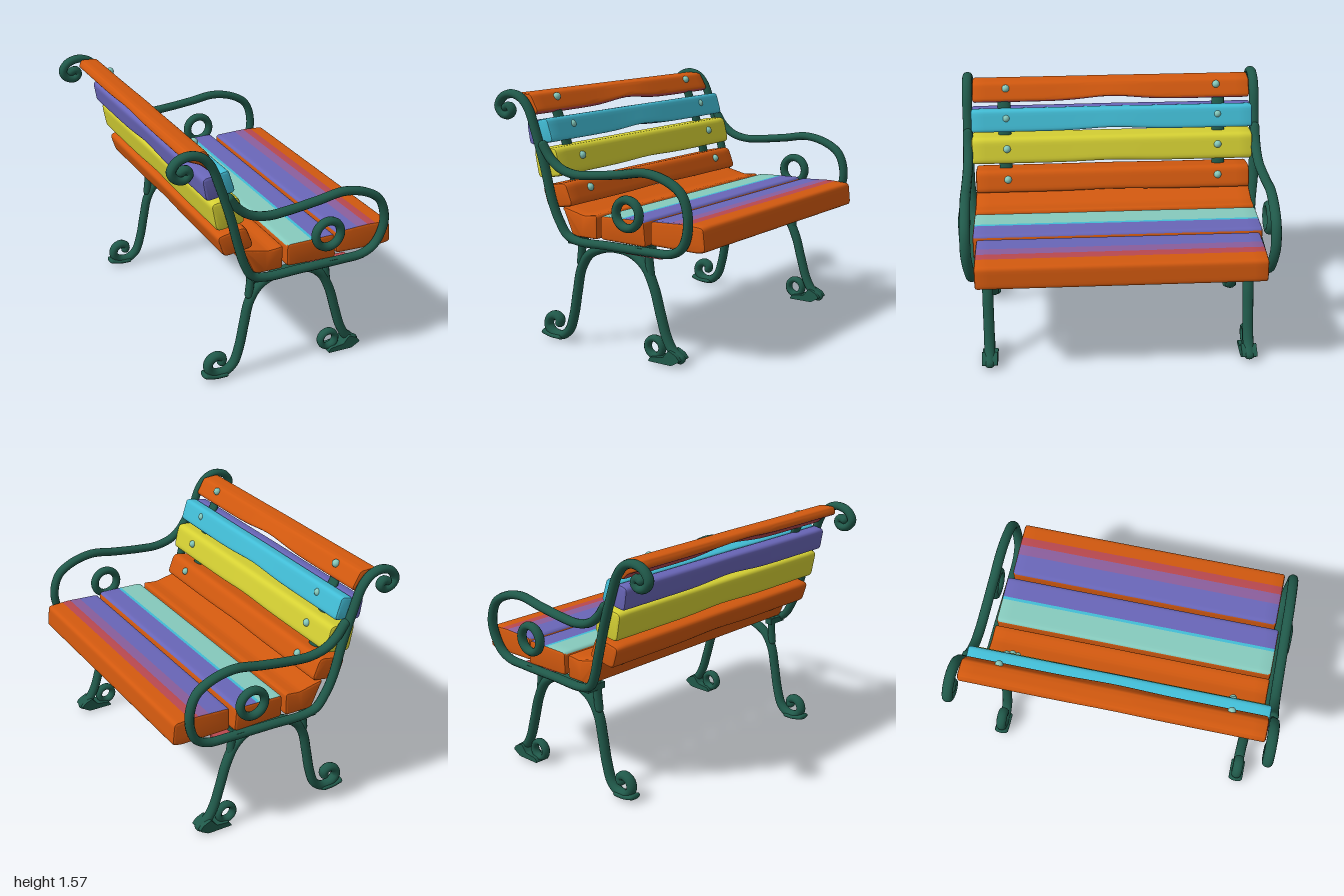
import * as THREE from 'three';
import { toCreasedNormals } from 'three/addons/utils/BufferGeometryUtils.js';

const mat = (name, color) => {
  const m = new THREE.MeshStandardMaterial({ color });
  m.name = name;
  return m;
};

export function createModel() {
  const bench = new THREE.Group();
  bench.name = 'bench';
  const green = mat('ironGreen', 0x20594a), orange = mat('orange', 0xd2590f);
  const yellow = mat('yellow', 0xd6d134), cyan = mat('cyan', 0x42bdd6);
  const purple = mat('purple', 0x6966b8), teal = mat('paleTeal', 0x86cabd);
  const red = mat('red', 0xb8484f), mauve = mat('mauve', 0x8a5e9c);

  const add = (name, geo, material, parent = bench) => {
    const m = new THREE.Mesh(geo, material);
    m.name = name;
    parent.add(m);
    return m;
  };

  // Rounded outline, long edges subdivided so stripes can be painted on them
  function outline(pts, r) {
    const v = pts.map(p => new THREE.Vector2(...p)), n = v.length, raw = [];
    v.forEach((p, i) => {
      const toward = q => {
        const d = q.clone().sub(p);
        return p.clone().add(d.setLength(Math.min(r, d.length() * 0.45)));
      };
      const c = new THREE.QuadraticBezierCurve(toward(v[(i + n - 1) % n]), p, toward(v[(i + 1) % n]));
      raw.push(...c.getPoints(4));
    });
    const out = [];
    raw.forEach((p, i) => {
      const q = raw[(i + 1) % raw.length], k = Math.max(1, Math.ceil(p.distanceTo(q) / 0.02));
      for (let j = 0; j < k; j++) out.push(p.clone().lerp(q, j / k));
    });
    return new THREE.Shape(out);
  }

  // Board running along z; notch lifts the lower edge at mid length
  function slat(name, pts, halfLength, material, { r = 0.035, notch = 0, paint } = {}) {
    const bevel = 0.015;
    let g = new THREE.ExtrudeGeometry(outline(pts, r), {
      depth: 2 * (halfLength - bevel), steps: 24, bevelEnabled: true, bevelSegments: 2,
      bevelSize: bevel, bevelThickness: bevel, bevelOffset: -bevel,
    });
    g.translate(0, 0, -(halfLength - bevel));
    const p = g.attributes.position;
    const ys = pts.map(q => q[1]), lo = Math.min(...ys), hi = Math.max(...ys);
    for (let i = 0; i < p.count; i++) {
      const t = (hi - p.getY(i)) / (hi - lo);
      p.setY(i, p.getY(i) + notch * t * Math.exp(-((p.getZ(i) / 0.22) ** 2)));
    }
    g.deleteAttribute('uv');
    g = toCreasedNormals(g, 0.7);
    g.clearGroups();
    if (!paint) return add(name, g, material);
    // One material group per run of equally painted triangles
    const list = [material], pos = g.attributes.position;
    const a = new THREE.Vector3(), b = new THREE.Vector3(), c = new THREE.Vector3();
    let start = 0, last = -1;
    for (let i = 0; i < pos.count; i += 3) {
      a.fromBufferAttribute(pos, i);
      b.fromBufferAttribute(pos, i + 1);
      c.fromBufferAttribute(pos, i + 2);
      const x = (a.x + b.x + c.x) / 3;
      const m = paint(x, b.sub(a).cross(c.sub(a)).normalize().y) || material;
      let k = list.indexOf(m);
      if (k < 0) k = list.push(m) - 1;
      if (k !== last && i > 0) {
        g.addGroup(start, i - start, last);
        start = i;
      }
      last = k;
    }
    g.addGroup(start, pos.count - start, last);
    return add(name, g, list);
  }

  // Backrest boards
  slat('topBackSlat', [[-0.63, 1.5], [-0.61, 1.55], [-0.5, 1.545], [-0.44, 1.44], [-0.48, 1.415], [-0.53, 1.46]],
    0.92, orange, { r: 0.02, notch: 0.03, paint: (x, ny) => (ny < -0.4 ? red : null) });
  slat('upperBackSlatFront', [[-0.45, 1.392], [-0.365, 1.41], [-0.32, 1.268], [-0.41, 1.25]], 0.93, cyan, { r: 0.025, notch: 0.02 });
  slat('upperBackSlatRear', [[-0.53, 1.38], [-0.44, 1.394], [-0.4, 1.252], [-0.505, 1.235]], 0.93, purple, { r: 0.03, notch: 0.02 });
  slat('middleBackSlat', [[-0.475, 1.215], [-0.3, 1.235], [-0.258, 1.065], [-0.44, 1.035]], 0.93, yellow, { notch: 0.012 });
  slat('lowerBackSlat', [[-0.43, 0.99], [-0.245, 1.025], [-0.19, 0.885], [-0.385, 0.853]], 0.91, orange, { notch: 0.01 });

  // Seat boards with painted stripes on top
  slat('rearSeatSlat', [[-0.27, 0.88], [-0.2, 0.865], [-0.1, 0.842], [0, 0.853], [-0.003, 0.703], [-0.19, 0.703]],
    0.915, orange, { r: 0.02, paint: (x, ny) => (ny < -0.8 ? red : null) });
  slat('middleSeatSlat', [[0.025, 0.855], [0.345, 0.862], [0.36, 0.703], [0.025, 0.708]], 0.915, orange,
    { r: 0.025, paint: (x, ny) => (ny < 0.5 ? null : x < 0.185 ? teal : x < 0.21 ? cyan : purple) });
  slat('frontSeatSlat', [[0.375, 0.86], [0.6, 0.87], [0.745, 0.862], [0.76, 0.72], [0.7, 0.708], [0.375, 0.712]], 0.89, orange,
    { r: 0.025, paint: (x, ny) => (ny < 0.5 || x > 0.65 ? null : x < 0.52 ? purple : x < 0.59 ? mauve : red) });

  // Smooth bar through xy points, widened in z and placed by a rule zAt(x, y)
  function bar(name, pts, radius, zAt, { wide = 1.2, parent = bench, seg = 10 } = {}) {
    const curve = new THREE.CatmullRomCurve3(pts.map(q => new THREE.Vector3(q[0], q[1], 0)), false, 'centripetal');
    const ends = [curve.getPoint(0), curve.getPoint(1)];
    const parts = [new THREE.TubeGeometry(curve, pts.length * seg, radius, 12)];
    ends.forEach(e => parts.push(new THREE.SphereGeometry(radius, 12, 8).translate(e.x, e.y, 0)));
    parts.forEach((g, k) => {
      const p = g.attributes.position;
      g.scale(1, 1, wide);
      for (let i = 0; i < p.count; i++) p.setZ(i, p.getZ(i) + zAt(p.getX(i), p.getY(i)));
      add(k ? name + 'End' : name, g, green, parent);
    });
  }

  const framePath = [[-0.67, 1.46], [-0.64, 1.47], [-0.62, 1.442], [-0.65, 1.412], [-0.7, 1.422], [-0.728, 1.465],
    [-0.695, 1.52], [-0.62, 1.545], [-0.545, 1.525], [-0.485, 1.46], [-0.43, 1.32], [-0.365, 1.12], [-0.315, 0.93],
    [-0.27, 0.8], [-0.215, 0.71], [-0.13, 0.682], [0.1, 0.682], [0.4, 0.682], [0.54, 0.69], [0.62, 0.735], [0.665, 0.83],
    [0.672, 0.94], [0.63, 1.05], [0.53, 1.115], [0.38, 1.147], [0.2, 1.122], [0, 1.098], [-0.13, 1.092], [-0.24, 1.118],
    [-0.32, 1.175], [-0.375, 1.25]];
  const legArch = [[-0.37, 0.11], [-0.365, 0.135], [-0.4, 0.155], [-0.445, 0.135], [-0.46, 0.085], [-0.42, 0.04],
    [-0.35, 0.035], [-0.29, 0.08], [-0.25, 0.19], [-0.22, 0.34], [-0.185, 0.49], [-0.12, 0.585], [0, 0.64], [0.1, 0.65],
    [0.2, 0.635], [0.3, 0.57], [0.365, 0.45], [0.41, 0.3], [0.455, 0.16], [0.5, 0.085], [0.555, 0.045]];

  for (const s of [1, -1]) {
    const side = new THREE.Group();
    side.name = s > 0 ? 'leftFrame' : 'rightFrame';
    bench.add(side);
    const legZ = () => s * 0.838;
    const opt = { parent: side };

    // Scrolled back post, seat rail and armrest in one bar
    bar('scrollFrame', framePath, 0.027, (x, y) => {
      const t = THREE.MathUtils.smoothstep(x, -0.35, 0.7);
      const low = 1 - THREE.MathUtils.smoothstep(y, 0.65, 0.95);
      return s * (0.955 - 0.018 * t - 0.025 * low);
    }, opt);
    add('armRing', new THREE.TorusGeometry(0.084, 0.026, 12, 32).scale(1, 1, 1.2).translate(0.27, 0.9, s * 0.966), green, side);

    // Arched legs with curled feet
    bar('legArch', legArch, 0.029, legZ, opt);
    for (const x of [-0.18, 0.33]) {
      bar('legStrut', [[x, 0.69], [x, 0.62], [x + (x < 0 ? -0.01 : 0.01), 0.53]], 0.024, legZ, opt);
      add('railBracket', new THREE.BoxGeometry(0.05, 0.04, 0.14).translate(x, 0.682, s * 0.87), green, side);
    }
    add('footRing', new THREE.TorusGeometry(0.053, 0.021, 10, 28).scale(1, 1, 1.4).translate(0.37, 0.088, s * 0.838), green, side);
    bar('rearToe', [[-0.48, 0.042], [-0.42, 0.028], [-0.35, 0.026]], 0.019, legZ, { parent: side, wide: 2.5 });
    const toe = new THREE.ExtrudeGeometry(outline([[0.35, 0.01], [0.52, 0.01], [0.58, 0.045], [0.555, 0.075], [0.5, 0.1], [0.46, 0.05], [0.37, 0.04]], 0.012),
      { depth: 0.1, bevelEnabled: false });
    add('frontToe', toCreasedNormals(toe.translate(0, 0, s * 0.838 - 0.05), 0.7), green, side);
    add('seatPlate', new THREE.BoxGeometry(0.26, 0.025, 0.09).translate(0.34, 0.66, s * 0.865), red, side);

    // Inner back strap with its bolts
    bar('backStrap', [[-0.26, 0.82], [-0.315, 0.95], [-0.36, 1.12], [-0.425, 1.32], [-0.48, 1.45]], 0.02, () => s * 0.712,
      { parent: side, wide: 2.1 });
    for (const [x, y] of [[-0.48, 1.515], [-0.358, 1.353], [-0.285, 1.165], [-0.225, 0.97]])
      add('bolt', new THREE.SphereGeometry(0.025, 14, 10).translate(x, y, s * 0.698), teal, side);
  }
  return bench;
}
